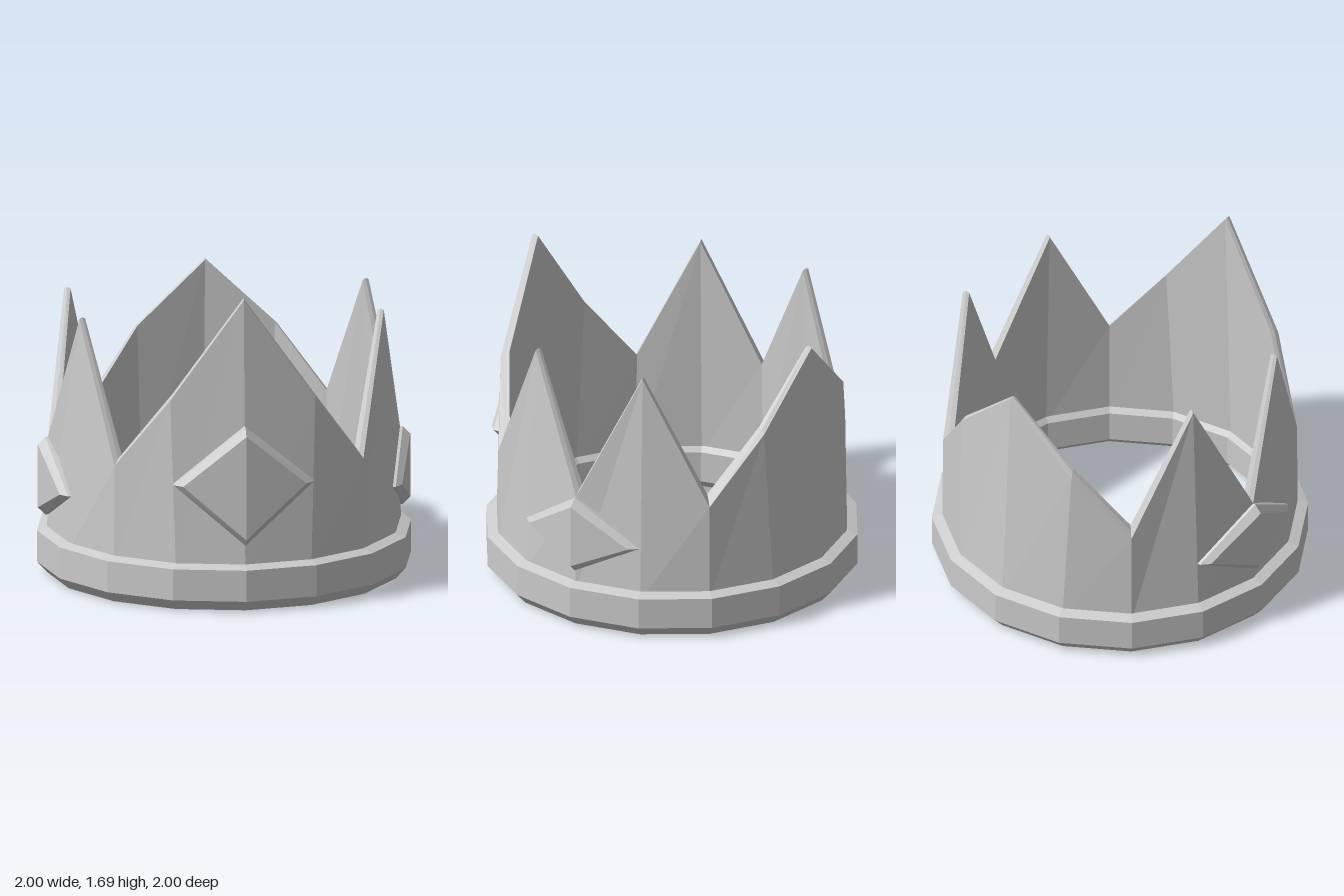
import * as THREE from 'three';

const material = new THREE.MeshStandardMaterial({ color: 0xcccccc, flatShading: true });

// Flat-shaded mesh from triangles of points
function facetMesh(name, tris) {
  const geo = new THREE.BufferGeometry();
  geo.setAttribute('position', new THREE.Float32BufferAttribute(tris.flat(), 3));
  geo.computeVertexNormals();
  const mesh = new THREE.Mesh(geo, material);
  mesh.name = name;
  return mesh;
}

const quad = (a, b, c, d) => [a, b, c, a, c, d];

// Chamfered 16-sided band at the bottom
function baseBand() {
  const profile = [
    [0.915, 0], [0.945, 0], [1, 0.06], [1, 0.23], [0.945, 0.25],
    [0.89, 0.25], [0.865, 0.22], [0.865, 0.05], [0.915, 0],
  ].map(([r, y]) => new THREE.Vector2(r, y));
  const mesh = new THREE.Mesh(new THREE.LatheGeometry(profile, 16), material);
  mesh.name = 'baseBand';
  return mesh;
}

// Pointed wall: one cross-section per station, joined around the circle
function wall() {
  // Half circle from front to back: [angle at top, height, outer radius, inner radius, inner lift]
  const valley = (deg) => [deg, 0.74, 0.94, 0.88, 0.05];
  const tip = (deg, h) => [deg, h, 0.88, 0.845, 0];
  const half = [
    tip(0, 1.68), [25, 1.13, 0.917, 0.87, 0.03], valley(45), tip(67.5, 1.465),
    valley(90), tip(112.5, 1.465), valley(135), [155, 1.1, 0.917, 0.87, 0.03], tip(180, 1.465),
  ];
  const stations = [];
  for (let i = 0; i < 16; i++) {
    const [deg, h, ro, ri, lift] = half[i <= 8 ? i : 16 - i];
    const top = THREE.MathUtils.degToRad(i <= 8 ? deg : 360 - deg);
    const low = (i * Math.PI) / 8;
    const at = (r, y, a) => [r * Math.sin(a), y, r * Math.cos(a)];
    stations.push([
      at(0.945, 0.2, low), at(ro, h, top),
      at((ro + ri) / 2, h + lift / 2 + 0.008, top),
      at(ri, h + lift, top), at(0.89, 0.2, low),
    ]);
  }
  const tris = [];
  stations.forEach((s, i) => {
    const n = stations[(i + 1) % 16];
    for (let k = 0; k < 5; k++) {
      const m = (k + 1) % 5;
      tris.push(...quad(s[k], n[k], n[m], s[m]));
    }
  });
  return facetMesh('pointedWall', tris);
}

// Diamond jewel folded around a vertical corner, with a bevelled edge
function jewel(name, width, side, top, bottom, cornerZ, angle) {
  const loop = (inset, sideZ, midZ) => [
    [width - inset * 1.15, side, sideZ], [0, top - inset, midZ],
    [-width + inset * 1.15, side, sideZ], [0, bottom + inset, midZ],
  ];
  const loops = [
    loop(0, cornerZ - 0.05, 0.9), loop(0, cornerZ, 0.955), loop(0.04, cornerZ + 0.04, 0.995),
  ];
  const tris = [];
  for (let k = 0; k < 2; k++) {
    for (let j = 0; j < 4; j++) {
      const n = (j + 1) % 4;
      tris.push(...quad(loops[k][j], loops[k][n], loops[k + 1][n], loops[k + 1][j]));
    }
  }
  const [r, t, l, b] = loops[2];
  tris.push(r, t, b, t, l, b);
  const mesh = facetMesh(name, tris);
  mesh.rotation.y = angle;
  return mesh;
}

export function createModel() {
  const crown = new THREE.Group();
  crown.name = 'crown';
  crown.add(baseBand(), wall());
  crown.add(jewel('frontJewel', 0.375, 0.68, 1.0, 0.355, 0.885, 0));
  crown.add(jewel('leftJewel', 0.355, 0.5, 0.74, 0.315, 0.875, Math.PI / 2));
  crown.add(jewel('rightJewel', 0.355, 0.5, 0.74, 0.315, 0.875, -Math.PI / 2));
  return crown;
}
